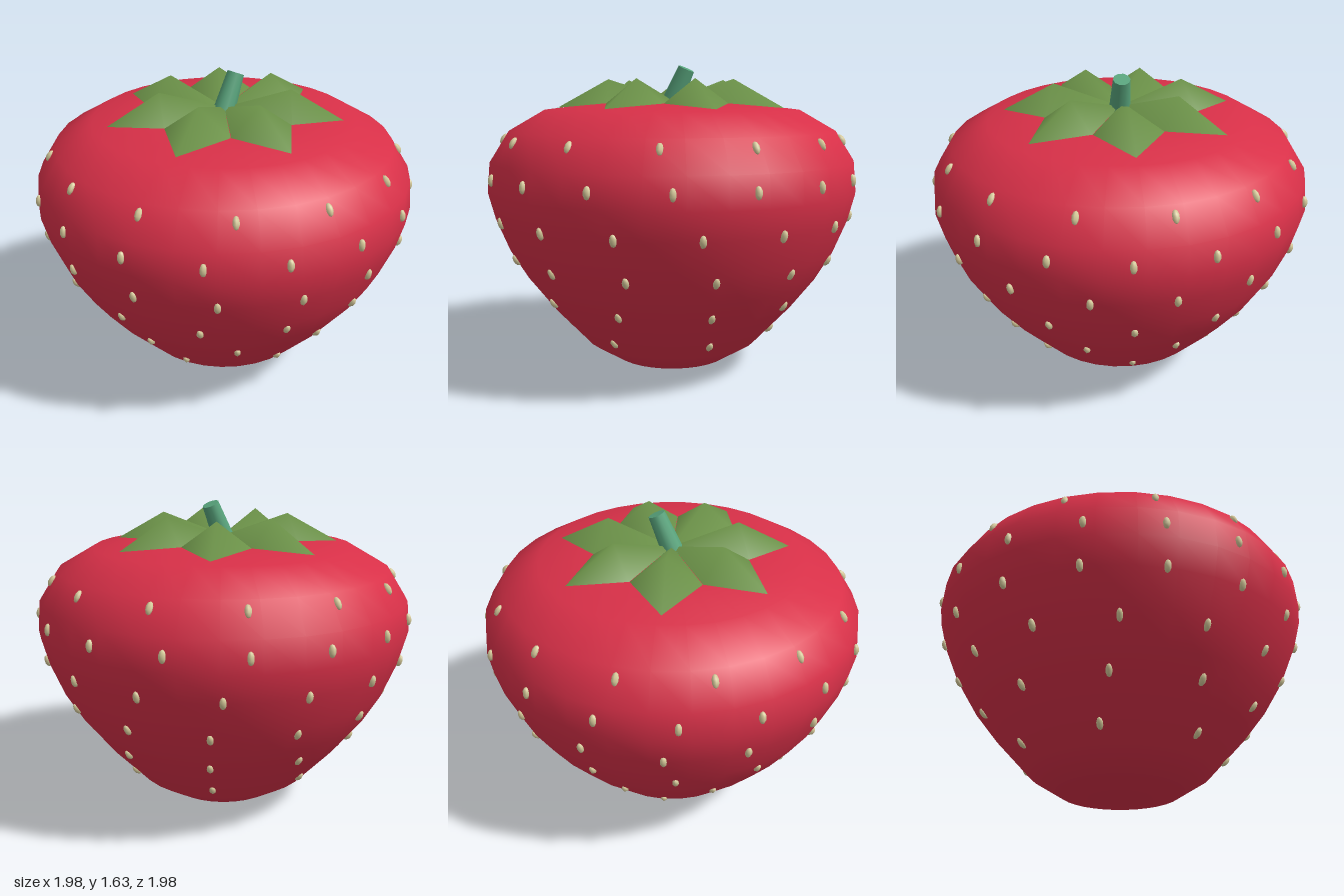
import * as THREE from 'three';

const mat = (name, color, side = THREE.FrontSide) => {
  const m = new THREE.MeshStandardMaterial({ color, side });
  m.name = name;
  return m;
};

// Body outline as [radius, height], bottom to top
const PROFILE = [
  [0, 0.005], [0.31, 0.055], [0.47, 0.155], [0.66, 0.36], [0.785, 0.52], [0.875, 0.67],
  [0.945, 0.84], [0.982, 0.98], [0.968, 1.135], [0.87, 1.29], [0.68, 1.4],
  [0.38, 1.436], [0, 1.42],
];

// Radius and outward slope of the body at a height
function surfaceAt(y) {
  const i = PROFILE.findIndex((p) => p[1] > y);
  const [r0, y0] = PROFILE[i - 1];
  const [r1, y1] = PROFILE[i];
  return { r: r0 + ((r1 - r0) * (y - y0)) / (y1 - y0), tilt: Math.atan2(r1 - r0, y1 - y0) };
}

// Pointed leaf along +x with a raised midrib
function leafGeometry() {
  const g = new THREE.BufferGeometry();
  g.setAttribute('position', new THREE.Float32BufferAttribute([
    0, 1.45, 0, // base
    0.36, 1.435, -0.172, // edge
    0.34, 1.56, 0, // midrib
    0.36, 1.435, 0.172, // edge
    0.61, 1.41, 0, // tip
  ], 3));
  g.setIndex([0, 2, 1, 0, 3, 2, 1, 2, 4, 2, 3, 4]);
  g.computeVertexNormals();
  return g;
}

export function createModel() {
  const model = new THREE.Group();
  model.name = 'strawberry';
  const red = mat('fruit red', 0xd83048);
  const green = mat('leaf green', 0x6b9148, THREE.DoubleSide);
  const stemGreen = mat('stem green', 0x58a47c);
  const cream = mat('seed cream', 0xd8cc9c);

  // Fruit
  const body = new THREE.Mesh(
    new THREE.LatheGeometry(PROFILE.map(([r, y]) => new THREE.Vector2(r, y)), 32), red);
  body.name = 'fruitBody';
  model.add(body);

  // Seeds in rings: [height, count, first angle in degrees]
  const seeds = new THREE.Group();
  seeds.name = 'seeds';
  const seedGeo = new THREE.SphereGeometry(1, 6, 5).scale(0.018, 0.032, 0.018);
  const rows = [
    [1.245, 13, 19.2], [1.055, 16, 3.5], [0.845, 15, 15],
    [0.635, 13, 2.3], [0.43, 10, 20], [0.24, 7, 0],
  ];
  for (const [y, count, start] of rows) {
    const { r, tilt } = surfaceAt(y);
    for (let i = 0; i < count; i++) {
      const ring = new THREE.Group();
      ring.rotation.y = -THREE.MathUtils.degToRad(start + (360 * i) / count);
      const seed = new THREE.Mesh(seedGeo, cream);
      seed.name = 'seed';
      seed.position.set(r, y, 0);
      seed.rotation.z = -tilt;
      ring.add(seed);
      seeds.add(ring);
    }
  }
  model.add(seeds);

  // Crown of seven leaves
  const crown = new THREE.Group();
  crown.name = 'leafCrown';
  const leafGeo = leafGeometry();
  for (let i = 0; i < 7; i++) {
    const leaf = new THREE.Mesh(leafGeo, green);
    leaf.name = 'leaf';
    leaf.rotation.y = (-i * Math.PI * 2) / 7;
    crown.add(leaf);
  }
  model.add(crown);

  // Stem leaning to the left
  const stem = new THREE.Mesh(new THREE.CylinderGeometry(0.044, 0.058, 0.22, 10), stemGreen);
  stem.name = 'stem';
  stem.position.set(0.036, 1.515, 0);
  stem.rotation.z = -0.42;
  model.add(stem);

  return model;
}
